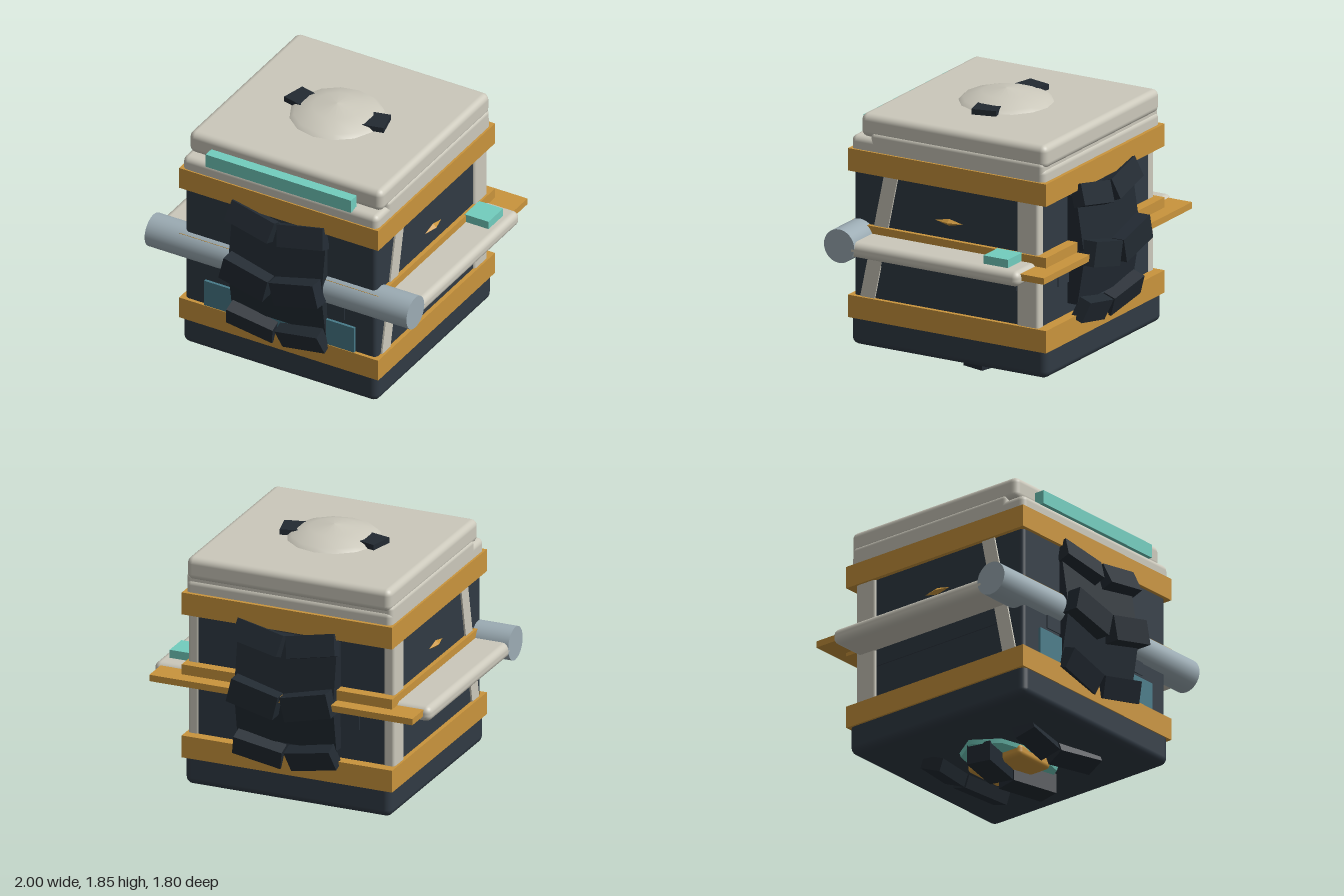
import * as THREE from 'three';
import { RoundedBoxGeometry } from 'three/addons/geometries/RoundedBoxGeometry.js';

const mat = (color) => new THREE.MeshStandardMaterial({ color });
const navy = mat(0x303a44), dark = mat(0x222a32), cream = mat(0xcbc8bb), gold = mat(0xc9943c);
const teal = mat(0x72cdbe), slate = mat(0x477a88), steel = mat(0x9cacb4);

export function createModel() {
  const model = new THREE.Group();
  const add = (name, geometry, material, parent = model) => {
    const mesh = new THREE.Mesh(geometry, material);
    mesh.name = name;
    parent.add(mesh);
    return mesh;
  };
  // Box given by its [min, max] on every axis; r > 0 rounds the edges
  const box = (name, material, [x0, x1], [y0, y1], [z0, z1], r = 0, parent = model) => {
    const s = [x1 - x0, y1 - y0, z1 - z0];
    const g = r ? new RoundedBoxGeometry(...s, 3, r) : new THREE.BoxGeometry(...s);
    const m = add(name, g, material, parent);
    m.position.set((x0 + x1) / 2, (y0 + y1) / 2, (z0 + z1) / 2);
    return m;
  };
  const sym = (v) => [-v, v];

  // Main case
  box('baseCase', navy, sym(0.745), [0.165, 0.5], sym(0.753), 0.05);
  box('middleCase', navy, sym(0.73), [0.4, 1.45], [-0.685, 0.735], 0.03);
  box('sideInset', navy, sym(0.738), [0.74, 0.86], sym(0.52));
  box('frontInset', navy, sym(0.49), [0.73, 0.83], [-0.695, 0.742]);
  for (const [y0, y1] of [[0.355, 0.51], [1.37, 1.525]]) box('band', gold, sym(0.76), [y0, y1], sym(0.76));

  // Lid
  box('lidBase', cream, sym(0.745), [1.42, 1.615], [-0.735, 0.75], 0.04);
  box('lidStep', cream, sym(0.745), [1.45, 1.655], [-0.725, 0.6], 0.03);
  box('lid', cream, sym(0.738), [1.612, 1.772], [-0.742, 0.682], 0.045);
  box('lidLightBar', teal, sym(0.555), [1.605, 1.7], [0.69, 0.765]);
  const dome = [[0.33, 1.76], [0.29, 1.797], [0.165, 1.837], [0, 1.86]].map((p) => new THREE.Vector2(...p));
  add('lidDome', new THREE.LatheGeometry(dome, 14), cream);

  // Waist: gold frame, shelf, rear board and front roller
  box('waistBand', gold, sym(0.76), [0.875, 1.015], sym(0.76));
  box('sideShelf', cream, sym(1), [0.857, 0.963], [-0.685, 0.64], 0.045);
  box('rearBoard', gold, sym(0.95), [0.9, 0.945], [-0.857, -0.67]);
  box('shelfTab', teal, [0.75, 0.932], [0.955, 1.02], [-0.57, -0.382]);
  const roller = add('roller', new THREE.CylinderGeometry(0.116, 0.116, 2, 32), steel);
  roller.rotation.z = Math.PI / 2;
  roller.position.set(0, 0.925, 0.685);
  box('frontPanel', slate, sym(0.573), [0.5, 0.7], [0.7, 0.755]);

  // Side trim, mirrored
  for (const s of [-1, 1]) {
    box('rearPost', cream, [s * 0.705 - 0.04, s * 0.705 + 0.04], [0.4, 1.45], [-0.69, -0.525], 0.02);
    // Slanted strip drawn in (z, y) and turned onto the side wall
    const shape = new THREE.Shape([[-0.49, 1.4], [-0.69, 0.45], [-0.58, 0.45], [-0.385, 1.4]]
      .map((p) => new THREE.Vector2(...p)));
    const strip = add('slantedStrip', new THREE.ExtrudeGeometry(shape, { depth: 0.04, bevelEnabled: false }), cream);
    strip.rotation.y = Math.PI / 2;
    strip.position.x = s * 0.722 - 0.02;
    const stud = add('sideStud', new THREE.OctahedronGeometry(1), gold);
    stud.scale.set(0.025, 0.024, 0.105);
    stud.position.set(s * 0.733, 1.13, 0);
  }

  // Clamp cluster facing +z about the body centre
  const makeClamp = (name, withPlate) => {
    const clamp = new THREE.Group();
    clamp.name = name;
    clamp.position.y = 0.91;
    for (const s of [-1, 1]) {
      // [height, depth centre, size y, size z, tilt, roll]
      for (const [v, d, h, t, tilt, roll] of [
        [0.395, 0.775, 0.15, 0.09, -0.36, 0.2],
        [0, 0.83, 0.17, 0.14, 0, 0.24],
        [-0.395, 0.775, 0.15, 0.09, 0.36, 0.22],
      ]) {
        const jaw = add('clampJaw', new THREE.BoxGeometry(0.345, h, t), dark, clamp);
        jaw.position.set(s * 0.192, v, d);
        jaw.rotation.set(tilt, 0, s * roll);
      }
    }
    if (withPlate) {
      // Bowed plate: profile in (depth, height) swept across x
      const profile = new THREE.Shape([[0.66, -0.33], [0.76, -0.33], [0.815, 0], [0.75, 0.42], [0.66, 0.42]]
        .map(([z, y]) => new THREE.Vector2(-z, y)));
      const plate = add('clampPlate', new THREE.ExtrudeGeometry(profile, { depth: 0.715, bevelEnabled: false }), dark, clamp);
      plate.rotation.y = Math.PI / 2;
      plate.position.x = -0.3575;
    }
    model.add(clamp);
    return clamp;
  };
  makeClamp('frontClamp', true);
  makeClamp('rearClamp', true).rotation.y = Math.PI;
  makeClamp('topClamp', false).rotation.x = -Math.PI / 2;
  makeClamp('bottomClamp', false).rotation.x = Math.PI / 2;

  // Underside core
  const ring = add('undersideRing', new THREE.CylinderGeometry(0.42, 0.4, 0.05, 8), teal);
  ring.scale.z = 0.62;
  ring.position.y = 0.162;
  box('undersideCore', gold, sym(0.16), [0.085, 0.17], sym(0.23), 0.03);

  return model;
}
